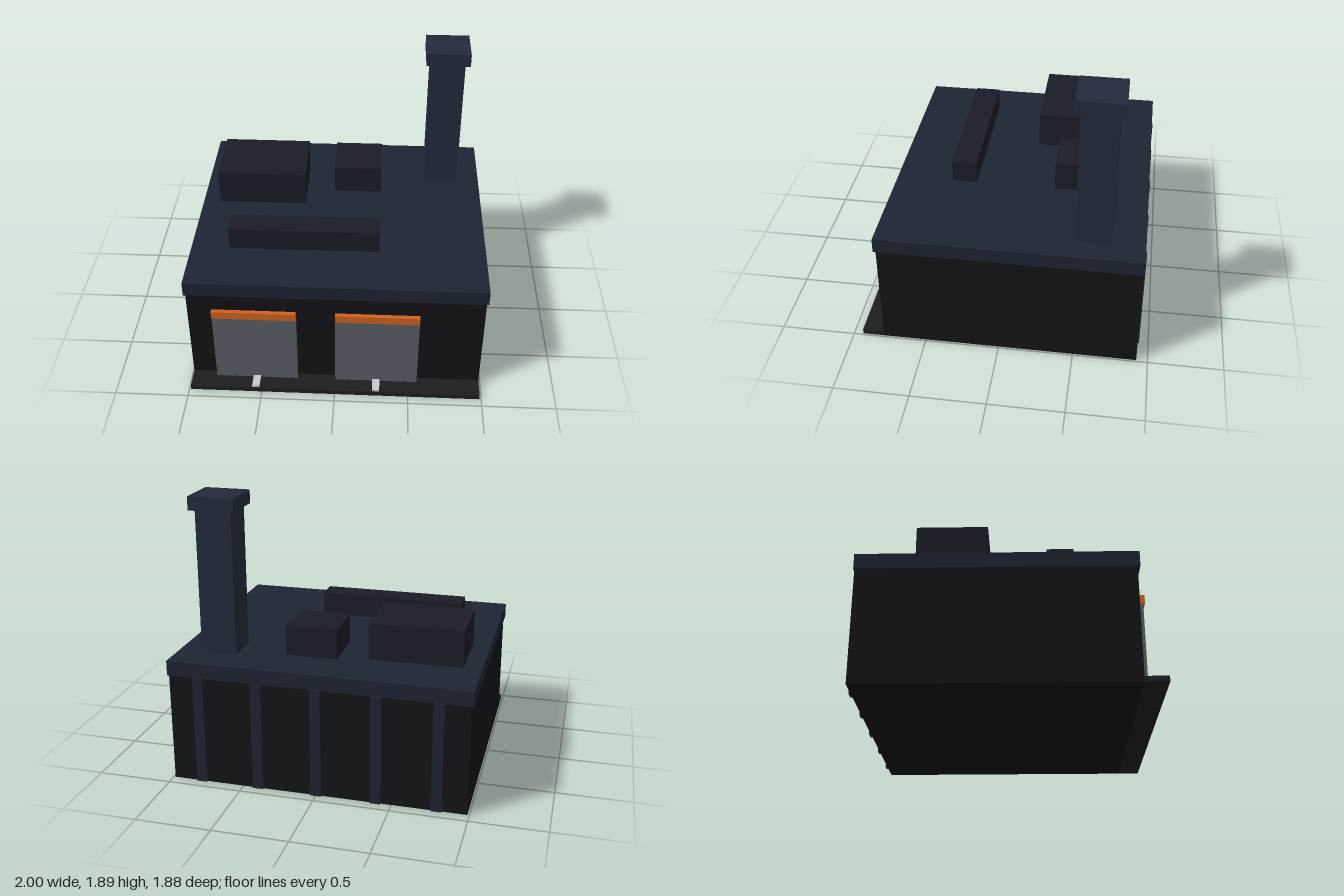
import * as THREE from 'three';

const mat = (color) => new THREE.MeshStandardMaterial({ color, flatShading: true });

export function createModel() {
  const group = new THREE.Group();
  const wall = mat(0x131417), roofing = mat(0x1d2433), unit = mat(0x191d27);
  const brick = mat(0x222a3b), shutter = mat(0x5b5e66), orange = mat(0xd0621f);
  const concrete = mat(0x1e1e21), marking = mat(0xc4c8d0);

  // Box given by its extents on each axis
  const box = (name, material, [x0, x1], [y0, y1], [z0, z1]) => {
    const mesh = new THREE.Mesh(new THREE.BoxGeometry(x1 - x0, y1 - y0, z1 - z0), material);
    mesh.position.set((x0 + x1) / 2, (y0 + y1) / 2, (z0 + z1) / 2);
    mesh.name = name;
    group.add(mesh);
  };

  // Hall, roof slab and loading apron
  box('walls', wall, [-0.988, 0.988], [0, 0.74], [-0.925, 0.793]);
  box('roof', roofing, [-1, 1], [0.74, 0.84], [-0.93, 0.808]);
  box('apron', concrete, [-0.988, 0.988], [0, 0.035], [0.793, 0.938]);

  // Loading doors with awning and floor marking
  for (const x of [-0.54, 0.28]) {
    box('door', shutter, [x - 0.28, x + 0.28], [0.005, 0.567], [0.78, 0.833]);
    box('awning', orange, [x - 0.28, x + 0.28], [0.575, 0.63], [0.814, 0.844]);
    box('floorMarking', marking, [x - 0.025, x + 0.025], [0.03, 0.05], [0.83, 0.932]);
  }

  // Pilasters along the back wall
  for (let i = -2; i <= 2; i++) {
    const x = i * 0.395;
    box('pilaster', roofing, [x - 0.035, x + 0.035], [0, 0.74], [-0.938, -0.915]);
  }

  // Rooftop equipment
  box('largeRoofUnit', unit, [-0.88, -0.26], [0.84, 1.087], [-0.57, -0.12]);
  box('smallRoofUnit', unit, [-0.06, 0.28], [0.84, 1.042], [-0.63, -0.29]);
  box('roofDuct', unit, [-0.74, 0.28], [0.84, 0.998], [0.25, 0.42]);

  // Chimney
  box('chimneyShaft', brick, [0.6, 0.84], [0.84, 1.8], [-0.717, -0.479]);
  box('chimneyCap', brick, [0.568, 0.873], [1.8, 1.89], [-0.75, -0.447]);

  return group;
}
